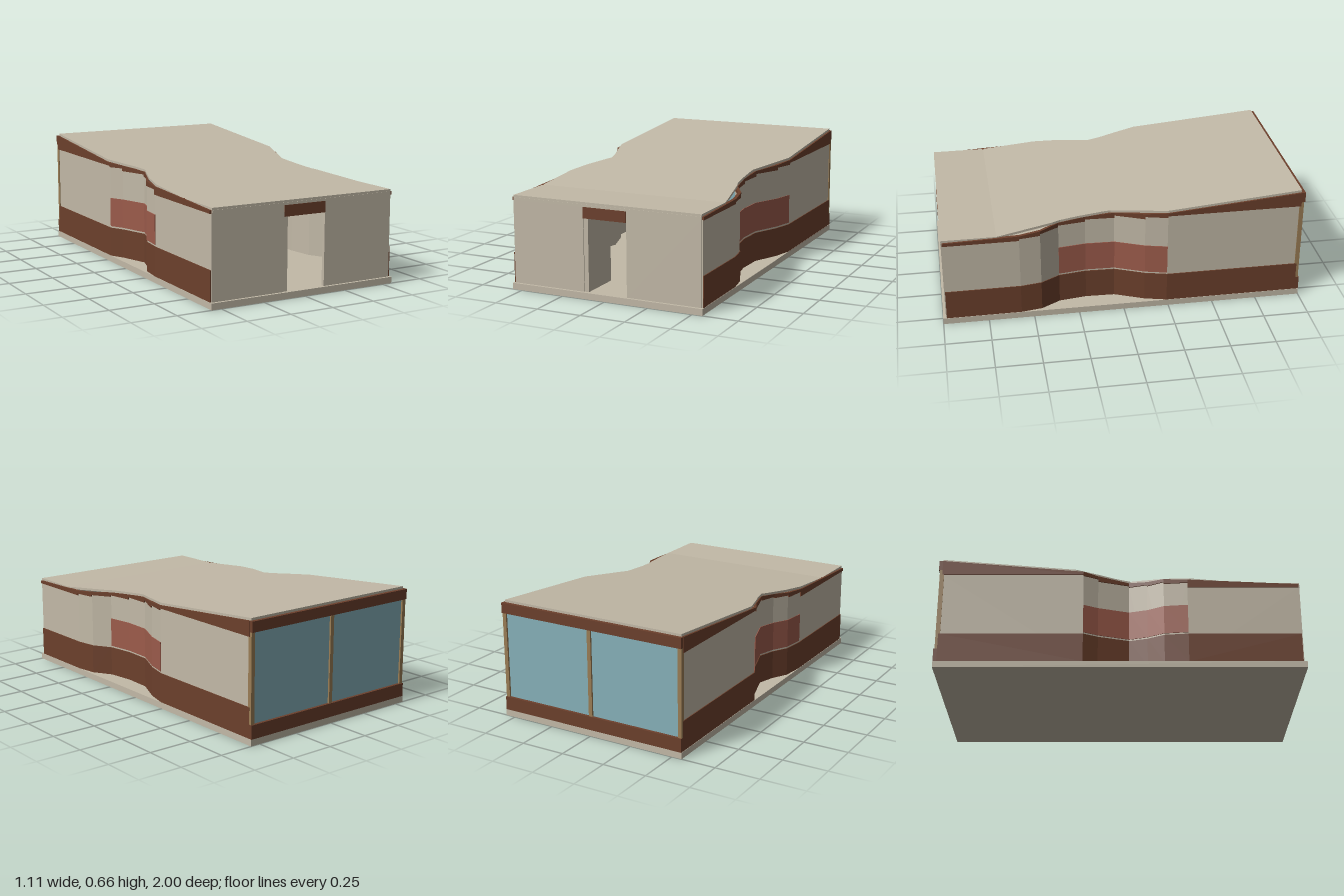
import * as THREE from 'three';
import { ConvexGeometry } from 'three/addons/geometries/ConvexGeometry.js';

const mat = (name, color) => {
  const m = new THREE.MeshStandardMaterial({ color });
  m.name = name;
  return m;
};

export function createModel() {
  const house = new THREE.Group();
  house.name = 'house';
  const plaster = mat('plaster', 0xc2b9a7);
  const brown = mat('brown wood', 0x6c402c);
  const red = mat('red panel', 0x9c5b4b);
  const glass = mat('glass', 0x86b0b9);
  const tan = mat('tan frame', 0x9a7d55);

  const add = (parent, name, geometry, material) => {
    const mesh = new THREE.Mesh(geometry, material);
    mesh.name = name;
    parent.add(mesh);
    return mesh;
  };
  // box given by its limits on each axis
  const box = (name, material, x0, x1, y0, y1, z0, z1, parent = house) => {
    const mesh = add(parent, name, new THREE.BoxGeometry(x1 - x0, y1 - y0, z1 - z0), material);
    mesh.position.set((x0 + x1) / 2, (y0 + y1) / 2, (z0 + z1) / 2);
  };

  const FLOOR = 0.035;
  // height of the roof surface: flat at the front, rising to the back
  const roofTop = (z) => 0.515 + Math.max(0, 0.69 - z) * 0.0868;
  const roofUnder = (z) => roofTop(z) - 0.013;

  box('baseSlab', plaster, -0.557, 0.557, 0, FLOOR, -1, 1);

  // one straight wall piece between two plan points [x, z]; thickness runs along x
  const wallPiece = (parent, name, material, side, a, b, out, thick, y0, yTopA, yTopB) => {
    const pts = [];
    for (const [[x, z], top] of [[a, yTopA], [b, yTopB]]) {
      for (const dx of [out, out - thick]) {
        for (const y of [y0, top]) pts.push(new THREE.Vector3(side * (x + dx), y, z));
      }
    }
    add(parent, name, new ConvexGeometry(pts), material);
  };

  // plan of each side wall from front to back, with the span covered by the red panel
  const sides = [
    {
      name: 'leftWall', side: 1, red: [0.35, -0.24],
      path: [[0.55, 0.98], [0.549, 0.57], [0.53, 0.455], [0.468, 0.35], [0.446, 0.2],
        [0.451, 0.04], [0.52, -0.12], [0.55, -0.24], [0.55, -0.98]],
    },
    {
      name: 'rightWall', side: -1, red: [0.37, -0.2],
      path: [[0.55, 0.98], [0.55, 0.37], [0.535, 0.24], [0.486, 0.15], [0.456, 0.05],
        [0.51, -0.12], [0.55, -0.2], [0.55, -0.98]],
    },
  ];
  for (const { name, side, red: span, path } of sides) {
    const wall = new THREE.Group();
    wall.name = name;
    house.add(wall);
    for (let i = 0; i < path.length - 1; i++) {
      const a = path[i], b = path[i + 1];
      const eave = roofTop(a[1]) - 0.03;
      wallPiece(wall, 'wallPanel', plaster, side, a, b, 0, 0.012, FLOOR, eave, eave);
      wallPiece(wall, 'lowerBand', brown, side, a, b, 0.005, 0.005, FLOOR, 0.2, 0.2);
      wallPiece(wall, 'eaveBand', brown, side, a, b, 0.006, 0.018, eave, roofUnder(a[1]), roofUnder(b[1]));
      if (a[1] <= span[0] && b[1] >= span[1]) {
        wallPiece(wall, 'redPanel', red, side, a, b, 0.004, 0.004, 0.21, 0.375, 0.375);
      }
    }
  }

  // roof as slices [z, right edge, left edge]
  const roof = new THREE.Group();
  roof.name = 'roof';
  house.add(roof);
  const slices = [[0.985, -0.545, 0.545], [0.69, -0.545, 0.545], [0.38, -0.548, 0.482],
    [0.34, -0.54, 0.468], [0.24, -0.52, 0.455], [0.1, -0.472, 0.446], [0.06, -0.456, 0.446],
    [-0.02, -0.475, 0.474], [-0.12, -0.51, 0.508], [-0.24, -0.548, 0.548], [-0.98, -0.545, 0.545]];
  for (let i = 0; i < slices.length - 1; i++) {
    const pts = [];
    for (const [z, x0, x1] of [slices[i], slices[i + 1]]) {
      for (const x of [x0, x1]) {
        pts.push(new THREE.Vector3(x, roofTop(z), z), new THREE.Vector3(x, roofUnder(z), z));
      }
    }
    add(roof, 'roofSlice', new ConvexGeometry(pts), plaster);
  }

  // front wall with an open doorway
  for (const s of [-1, 1]) {
    box('frontPanel', plaster, s < 0 ? -0.545 : 0.125, s < 0 ? -0.125 : 0.545, FLOOR, 0.49, 0.965, 0.985);
  }
  box('frontHeader', plaster, -0.545, 0.545, 0.49, 0.503, 0.965, 0.987);
  box('doorLintel', brown, -0.125, 0.125, 0.43, 0.49, 0.97, 0.989);
  box('openDoor', plaster, -0.125, -0.1, FLOOR, 0.43, 0.74, 0.98);

  // glazed back wall
  box('backSill', brown, -0.555, 0.555, FLOOR, 0.11, -1, -0.97);
  box('backBeam', brown, -0.555, 0.555, 0.59, 0.647, -1, -0.97);
  box('backGlass', glass, -0.545, 0.545, 0.11, 0.59, -0.984, -0.978);
  for (const x of [-0.543, 0, 0.543]) {
    box('backMullion', tan, x - 0.011, x + 0.011, 0.11, 0.59, -0.994, -0.97);
  }

  return house;
}
